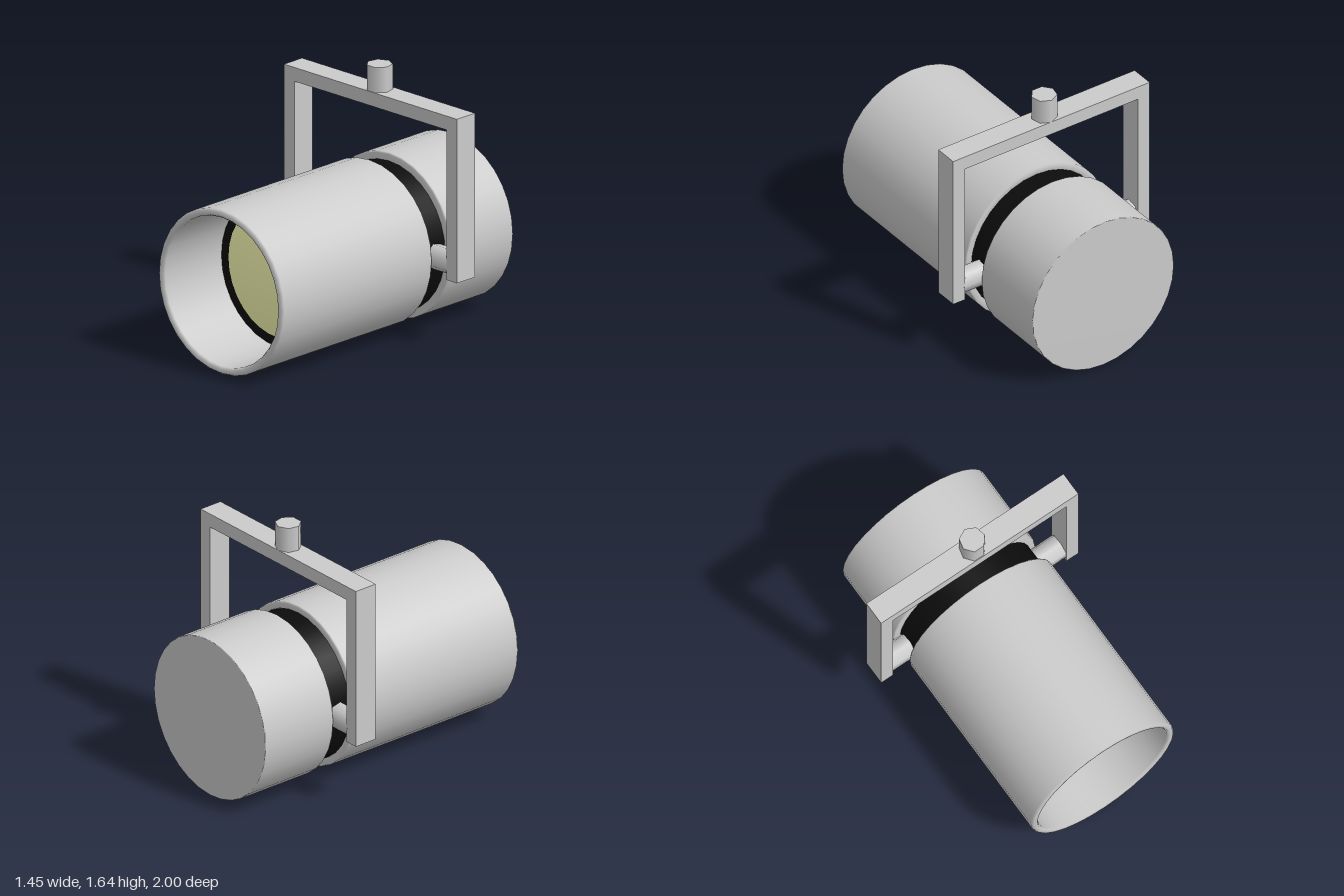
import * as THREE from 'three';

const AXIS_Y = 0.528; // height of the lamp's axis
const BRACKET_Z = -0.38;

const grey = new THREE.MeshStandardMaterial({ color: 0xcccccc });
const black = new THREE.MeshStandardMaterial({ color: 0x0c0c0c });
const yellow = new THREE.MeshStandardMaterial({ color: 0xffffb8 });

export function createModel() {
  const model = new THREE.Group();

  function add(name, geometry, material, x = 0, y = 0, z = 0) {
    const mesh = new THREE.Mesh(geometry, material);
    mesh.name = name;
    mesh.position.set(x, y, z);
    model.add(mesh);
    return mesh;
  }

  // Profile of [radius, z] points turned around the lamp's axis
  function turned(name, points, material) {
    const geometry = new THREE.LatheGeometry(points.map(([r, z]) => new THREE.Vector2(r, z)), 32);
    geometry.rotateX(Math.PI / 2);
    return add(name, geometry, material, 0, AXIS_Y, 0);
  }

  // Front tube: open sleeve with softened rims
  turned('frontTube', [
    [0.475, -0.29], [0.48, -0.3], [0.515, -0.3], [0.523, -0.29],
    [0.523, 0.985], [0.512, 1], [0.487, 1], [0.475, 0.985], [0.475, -0.29],
  ], grey);

  // Rear housing: closed flat back, open toward the gap
  turned('rearHousing', [
    [0, -1], [0.518, -1], [0.523, -0.995],
    [0.523, -0.47], [0.515, -0.46], [0.46, -0.46],
  ], grey);

  // Dark core joining the two housings and carrying the lens
  const core = new THREE.CylinderGeometry(0.474, 0.474, 0.98, 32);
  core.rotateX(Math.PI / 2);
  add('core', core, black, 0, AXIS_Y, 0.01);

  // Shallow domed lens
  const lens = [];
  for (let i = 0; i <= 6; i++) {
    const t = i / 6;
    lens.push([0.415 * (1 - t), 0.5 + 0.07 * (1 - (1 - t) ** 2)]);
  }
  turned('lens', lens, yellow);

  // U-shaped bracket
  const outline = new THREE.Shape([
    [-0.725, 0.435], [-0.638, 0.435], [-0.638, 1.393], [0.638, 1.393],
    [0.638, 0.435], [0.725, 0.435], [0.725, 1.482], [-0.725, 1.482],
  ].map(([x, y]) => new THREE.Vector2(x, y)));
  const bracket = new THREE.ExtrudeGeometry(outline, { depth: 0.156, bevelEnabled: false });
  add('bracket', bracket, grey, 0, 0, BRACKET_Z - 0.078);

  // Seven-sided mounting post on top
  const post = new THREE.CylinderGeometry(0.081, 0.081, 0.17, 7);
  post.rotateY(Math.PI);
  add('mountingPost', post, grey, 0, 1.558, BRACKET_Z);

  // Pivot pins between bracket arms and core
  for (const side of [-1, 1]) {
    const pin = new THREE.CylinderGeometry(0.081, 0.081, 0.2, 7);
    pin.rotateY(Math.PI);
    pin.rotateZ(Math.PI / 2);
    add(side > 0 ? 'leftPivot' : 'rightPivot', pin, grey, side * 0.545, AXIS_Y, BRACKET_Z);
  }

  return model;
}
